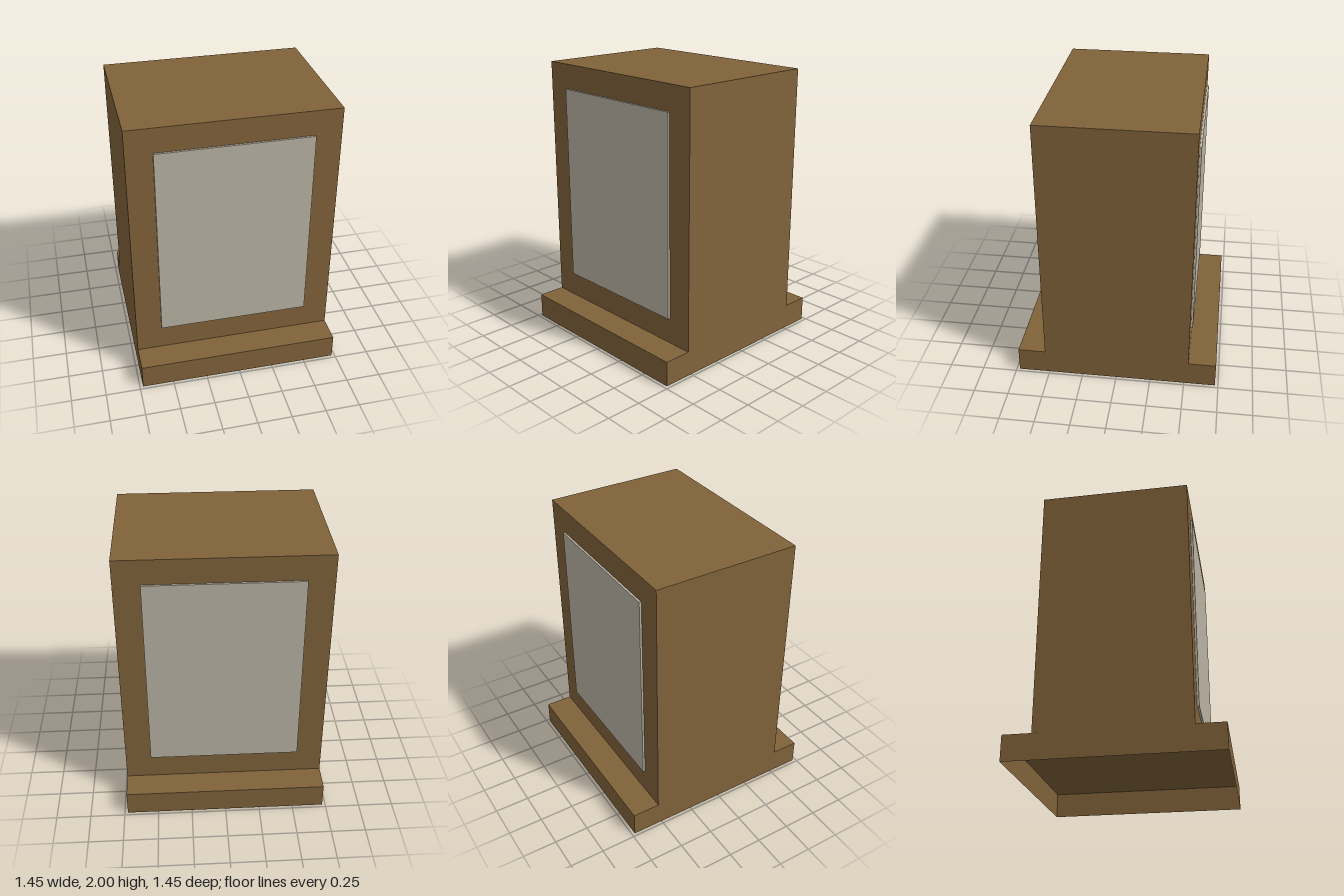
import * as THREE from 'three';

const wood = new THREE.MeshStandardMaterial({ color: 0x80623a, side: THREE.DoubleSide });
wood.name = 'brown wood';
const plate = new THREE.MeshStandardMaterial({ color: 0xbab3a4 });
plate.name = 'pale grey plate';

// Box standing on y = bottom; openBelow leaves out its underside
function block(name, material, width, bottom, top, depth, z = 0, openBelow = false) {
  const geometry = new THREE.BoxGeometry(width, top - bottom, depth);
  if (openBelow) {
    const index = Array.from(geometry.index.array);
    index.splice(18, 6);
    geometry.setIndex(index);
    geometry.clearGroups();
  }
  const mesh = new THREE.Mesh(geometry, material);
  mesh.name = name;
  mesh.position.set(0, (bottom + top) / 2, z);
  return mesh;
}

export function createModel() {
  const model = new THREE.Group();
  model.name = 'pedestal';

  const width = 1.454, baseTop = 0.182, bodyDepth = 1.055;

  // Hollow plinth, open underneath, and the upright block on it
  model.add(block('base', wood, width, 0, baseTop, 1.454, 0, true));
  model.add(block('body', wood, width, baseTop, 2, bodyDepth, 0, true));

  // Raised panels on the front and back
  const thickness = 0.015;
  for (const [name, side] of [['frontPanel', 1], ['backPanel', -1]]) {
    const z = side * (bodyDepth + thickness) / 2;
    model.add(block(name, plate, 1.086, 0.368, 1.82, thickness, z));
  }
  return model;
}
